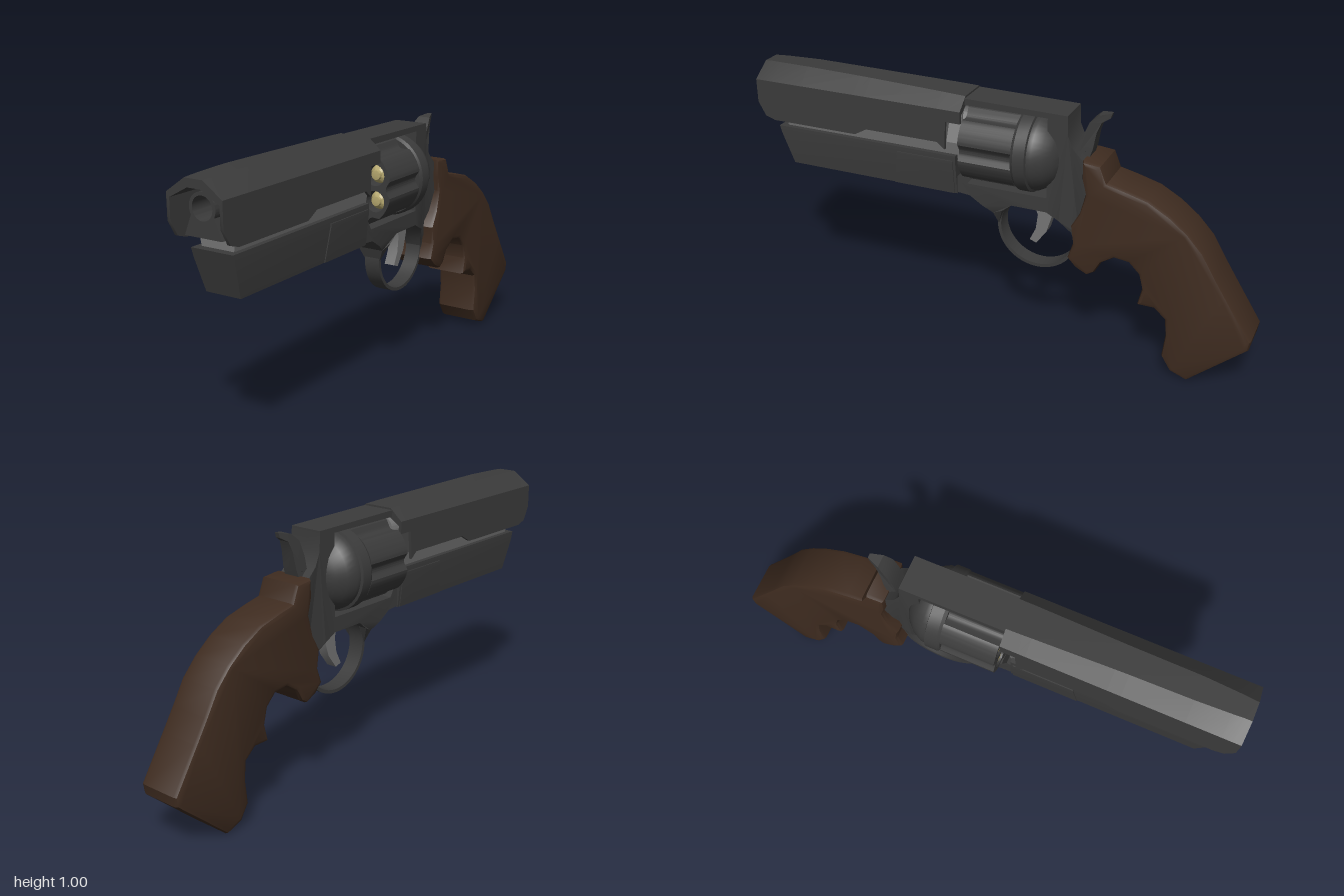
import * as THREE from 'three';
import { toCreasedNormals } from 'three/addons/utils/BufferGeometryUtils.js';

const material = (name, color) => {
  const m = new THREE.MeshStandardMaterial({ color });
  m.name = name;
  return m;
};

export function createModel() {
  const steel = material('dark steel', 0x3b3b3b);
  const grey = material('bare grey steel', 0x757575);
  const brass = material('brass', 0xb5a76e);
  const wood = material('brown wood', 0x3f2c20);
  const model = new THREE.Group();

  const add = (name, geometry, mat, parent = model) => {
    const mesh = new THREE.Mesh(toCreasedNormals(geometry, 0.55), mat);
    mesh.name = name;
    parent.add(mesh);
    return mesh;
  };
  const outline = (pts) => new THREE.Shape(pts.map(([a, b]) => new THREE.Vector2(a, b)));

  // Side profile in (z, y), extruded symmetrically across x
  const sideExtrude = (shape, halfWidth, bevel = 0) => {
    const g = new THREE.ExtrudeGeometry(shape, {
      depth: 2 * (halfWidth - bevel), curveSegments: 32, bevelEnabled: bevel > 0, bevelSegments: 2,
      bevelThickness: bevel, bevelSize: bevel, bevelOffset: -bevel,
    });
    return g.translate(0, 0, bevel - halfWidth).rotateY(-Math.PI / 2);
  };
  // Front profile in (x, y), extruded from z0 to z1
  const frontExtrude = (shape, z0, z1) =>
    new THREE.ExtrudeGeometry(shape, { depth: z1 - z0, bevelEnabled: false, curveSegments: 24 }).translate(0, 0, z0);
  // Profile [radius, z] revolved around the z axis
  const turned = (pts, segments = 32) =>
    new THREE.LatheGeometry(pts.map(([r, z]) => new THREE.Vector2(r, z)), segments).rotateX(Math.PI / 2);
  // Scale x of every vertex by a rule of y and z
  const taper = (g, rule) => {
    const p = g.attributes.position;
    for (let i = 0; i < p.count; i++) p.setX(i, p.getX(i) * rule(p.getY(i), p.getZ(i)));
    return g;
  };
  // Skin over closed rings of [x, y, z], ordered front to back, with end caps
  const loft = (rings) => {
    const v = [];
    const n = rings[0].length;
    for (let i = 0; i + 1 < rings.length; i++) {
      for (let j = 0; j < n; j++) {
        const k = (j + 1) % n;
        const [a, b, c, d] = [rings[i][j], rings[i][k], rings[i + 1][k], rings[i + 1][j]];
        v.push(...a, ...d, ...c, ...a, ...c, ...b);
      }
    }
    const cap = (ring, flip) => {
      const flat = ring.map(([x, y]) => new THREE.Vector2(x, y));
      for (const [a, b, c] of THREE.ShapeUtils.triangulateShape(flat, [])) {
        v.push(...ring[a], ...ring[flip ? c : b], ...ring[flip ? b : c]);
      }
    };
    cap(rings[0], false);
    cap(rings[rings.length - 1], true);
    const g = new THREE.BufferGeometry();
    g.setAttribute('position', new THREE.Float32BufferAttribute(v, 3));
    g.computeVertexNormals();
    return g;
  };

  // Faceted barrel shroud: an inverted channel, [z, half roof width, roof y, lower edge y]
  const shroudRing = ([z, t, top, bottom]) => {
    const right = [[0.112, bottom], [0.112, Math.max(0.942, bottom + 0.02)], [t, top]];
    const inner = [[t - 0.01, top - 0.03], [0.1, 0.925], [0.1, bottom]];
    const mirror = (pts) => pts.map(([x, y]) => [-x, y]).reverse();
    return [...right, ...mirror(right), ...mirror(inner), ...inner]
      .map(([x, y]) => [x, y, z]);
  };
  add('barrelShroud', loft([
    [1, 0.036, 0.995, 0.85], [0.97, 0.037, 0.997, 0.795], [0.93, 0.04, 0.998, 0.782],
    [0.8, 0.046, 1, 0.782], [0.57, 0.049, 0.997, 0.782], [0.52, 0.05, 0.996, 0.81],
    [0.22, 0.058, 0.99, 0.81], [0.19, 0.059, 0.989, 0.785], [0.185, 0.059, 0.989, 0.895],
    [0.125, 0.06, 0.987, 0.895],
  ].map(shroudRing)), steel);

  // Barrel with a flared base and open bore
  const barrelShape = new THREE.Shape();
  barrelShape.absarc(0, 0.895, 0.053, -0.5, Math.PI + 0.5, false);
  barrelShape.lineTo(-0.075, 0.8);
  barrelShape.lineTo(0.075, 0.8);
  barrelShape.holes.push(new THREE.Path().absarc(0, 0.895, 0.041, 0, Math.PI * 2, true));
  add('barrel', frontExtrude(barrelShape, 0.2, 0.965), steel);
  add('barrelRear', frontExtrude(barrelShape, 0.145, 0.2), grey);
  add('underBarrelRail', frontExtrude(
    outline([[-0.06, 0.72], [0.06, 0.72], [0.075, 0.8], [-0.075, 0.8]]), 0.15, 0.9), grey);

  // Lower shroud with raked nose, and the wider panel at its rear
  const lowerShroud = (zFront, rake, zBack, scale, top) => {
    const half = [[0.071, 0.592], [0.085, 0.715], [0.085, top]];
    const pts = [...half, ...half.map(([x, y]) => [-x, y]).reverse()];
    return loft([
      pts.map(([x, y]) => [x * scale, y, zFront + rake * (y - 0.592)]),
      pts.map(([x, y]) => [x * scale, y, zBack]),
    ]);
  };
  add('lowerShroud', lowerShroud(0.882, 0.3, 0.16, 1, 0.75), steel);
  add('lowerShroudPanel', lowerShroud(0.425, -0.15, 0.17, 1.05, 0.73), steel);

  // Frame, narrowing where it runs into the trigger guard
  const frameShape = outline([
    [0.125, 0.98], [-0.275, 0.975], [-0.278, 0.9], [-0.3, 0.85], [-0.34, 0.81], [-0.36, 0.72],
    [-0.35, 0.6], [-0.32, 0.5], [-0.305, 0.45], [-0.29, 0.5], [-0.25, 0.555], [-0.2, 0.582],
    [-0.06, 0.582], [-0.02, 0.55], [0.005, 0.48], [0.02, 0.53], [0.06, 0.56], [0.11, 0.592],
    [0.165, 0.597], [0.165, 0.66], [0.14, 0.675], [0.12, 0.64], [-0.2, 0.64], [-0.2, 0.955], [0.125, 0.955],
  ]);
  add('frame', taper(sideExtrude(frameShape, 0.068),
    (y) => THREE.MathUtils.clamp(0.47 + (y - 0.49) * 8, 0.47, 1)), steel);

  // Trigger guard ring
  const guardShape = new THREE.Shape();
  guardShape.absellipse(-0.152, 0.48, 0.161, 0.156, 0, Math.PI * 2);
  guardShape.holes.push(new THREE.Path().absellipse(-0.152, 0.48, 0.148, 0.143, 0, Math.PI * 2, true));
  add('triggerGuard', sideExtrude(guardShape, 0.032), steel);

  // Trigger
  add('trigger', sideExtrude(outline([
    [-0.13, 0.6], [-0.21, 0.6], [-0.205, 0.54], [-0.185, 0.475], [-0.145, 0.42], [-0.118, 0.43],
    [-0.142, 0.48], [-0.15, 0.54],
  ]), 0.022), grey);

  // Hammer, its spur thinning towards the tip
  add('hammer', taper(sideExtrude(outline([
    [-0.27, 0.8], [-0.305, 0.82], [-0.32, 0.89], [-0.345, 0.95], [-0.375, 0.978], [-0.42, 0.987],
    [-0.415, 0.968], [-0.385, 0.95], [-0.37, 0.91], [-0.36, 0.85], [-0.345, 0.8],
  ]), 0.035), (y, z) => THREE.MathUtils.clamp((z + 0.44) / 0.09, 0.25, 1)), steel);

  // Cylinder: fluted body with six chambers, loaded rounds, rear band and dome
  const cylinder = new THREE.Group();
  cylinder.name = 'cylinder';
  cylinder.position.y = 0.797;
  model.add(cylinder);
  const sector = Math.PI / 3;
  const rim = [];
  for (let i = 0; i < 120; i++) {
    const a = (i / 120) * Math.PI * 2;
    const off = Math.abs(a - Math.round(a / sector) * sector);
    const r = 0.153 - 0.022 * Math.max(0, Math.cos((off / 0.22) * Math.PI / 2)) * (off < 0.22 ? 1 : 0);
    rim.push([r * Math.cos(a), r * Math.sin(a)]);
  }
  const bodyShape = outline(rim);
  for (let i = 0; i < 6; i++) {
    const a = (i + 0.5) * sector;
    const [x, y] = [0.098 * Math.cos(a), 0.098 * Math.sin(a)];
    bodyShape.holes.push(new THREE.Path().absarc(x, y, 0.04, 0, Math.PI * 2, true));
    add('round', turned([[0, -0.08], [0.038, -0.08], [0.038, 0.075], [0.032, 0.095], [0.02, 0.105],
      [0.018, 0.115], [0, 0.118]], 20), brass, cylinder).position.set(x, y, 0);
  }
  add('cylinderBody', frontExtrude(bodyShape, -0.09, 0.12), steel, cylinder);
  add('cylinderRear', turned([[0, -0.26], [0.06, -0.25], [0.1, -0.23], [0.13, -0.2], [0.148, -0.165],
    [0.148, -0.148], [0.158, -0.145], [0.158, -0.1], [0.15, -0.088], [0, -0.088]], 40), steel, cylinder);
  add('cylinderPin', turned([[0, 0.1], [0.026, 0.1], [0.026, 0.15], [0, 0.15]], 20), grey, cylinder);

  // Wooden grip with finger grooves
  add('grip', sideExtrude(outline([
    [-0.34, 0.82], [-0.41, 0.813], [-0.435, 0.75], [-0.5, 0.735], [-0.59, 0.71], [-0.67, 0.665],
    [-0.74, 0.61], [-0.8, 0.545], [-0.85, 0.46], [-0.9, 0.38], [-0.998, 0.225], [-0.992, 0.187],
    [-0.778, 0.002], [-0.71, 0.028], [-0.675, 0.085], [-0.685, 0.175], [-0.678, 0.245], [-0.635, 0.282],
    [-0.57, 0.283], [-0.585, 0.35], [-0.57, 0.41], [-0.53, 0.45], [-0.475, 0.457], [-0.425, 0.425],
    [-0.4, 0.38], [-0.372, 0.362], [-0.325, 0.385], [-0.292, 0.42], [-0.312, 0.48], [-0.302, 0.55],
    [-0.335, 0.61], [-0.355, 0.69], [-0.34, 0.75],
  ]), 0.09, 0.016), wood);

  return model;
}
